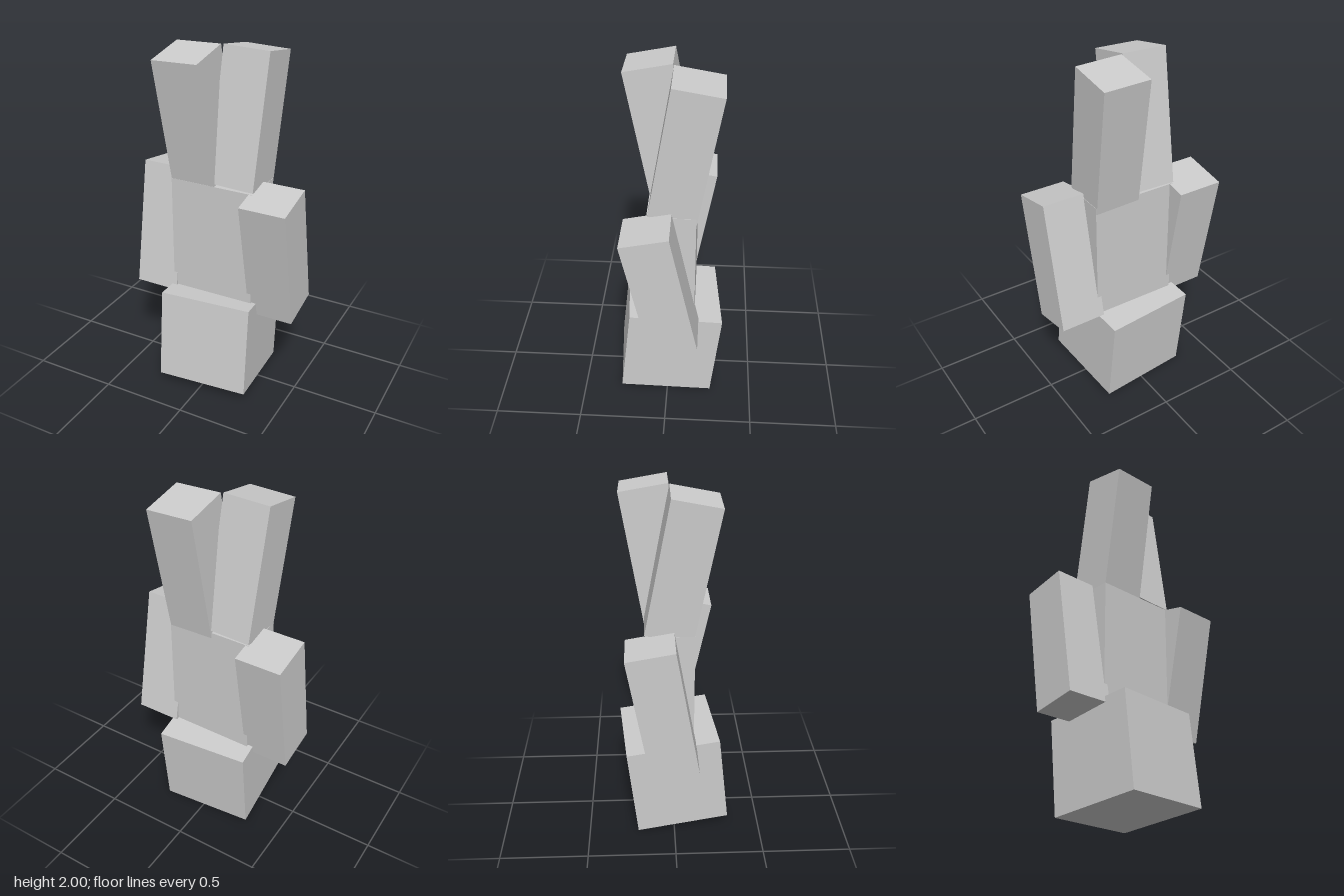
import * as THREE from 'three';

// An upside-down blocky figure: head on the ground, legs in the air.
export function createModel() {
  const model = new THREE.Group();
  const material = new THREE.MeshStandardMaterial({ color: 0xcccccc, flatShading: true });
  const limb = [0.265, 0.746, 0.265];

  // Box placed by its centre and turned by angles in degrees
  function addBlock(name, size, position, [rx, ry, rz] = [0, 0, 0]) {
    const mesh = new THREE.Mesh(new THREE.BoxGeometry(...size), material);
    const rad = THREE.MathUtils.degToRad;
    mesh.name = name;
    mesh.position.set(...position);
    mesh.rotation.set(rad(rx), rad(ry), rad(rz), 'YXZ');
    model.add(mesh);
  }

  // Head, turned and tipped slightly
  addBlock('head', [0.535, 0.535, 0.535], [0, 0.298, 0], [-6.2, 5, 0]);

  // Torso
  addBlock('torso', [0.5, 0.746, 0.265], [0, 0.882, -0.0225]);

  // Arms, swung in opposite directions
  addBlock('leftArm', limb, [0.358, 0.89, 0.0275], [12, 0, 0]);
  addBlock('rightArm', limb, [-0.36, 0.89, -0.066], [-10, 0, 0]);

  // Legs, swung in opposite directions and slightly splayed
  addBlock('leftLeg', limb, [0.126, 1.61, -0.09], [-9.7, 0, -1.75]);
  addBlock('rightLeg', limb, [-0.127, 1.609, 0.042], [10.9, 0, 1.75]);

  return model;
}
